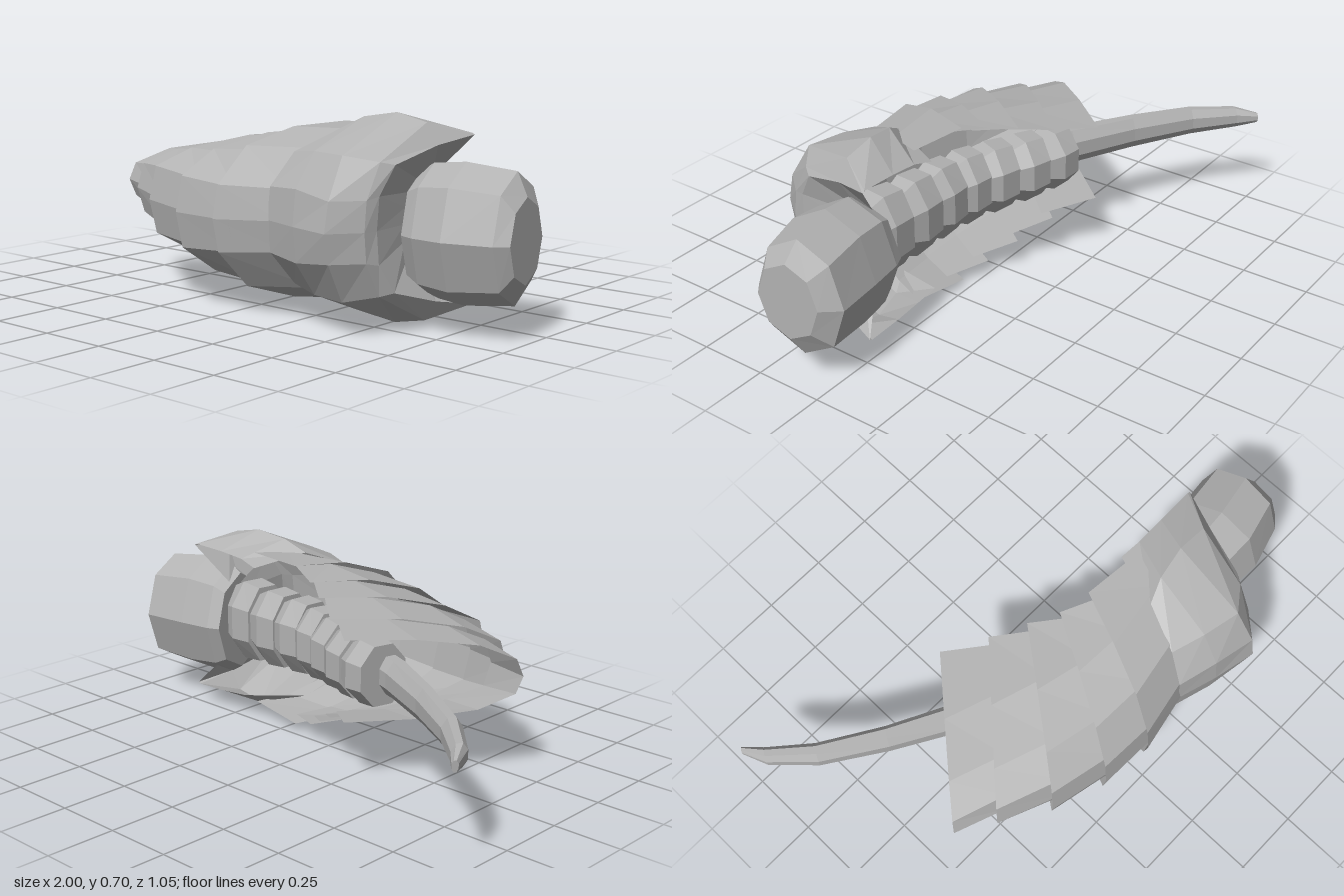
import * as THREE from 'three';

const shellGrey = new THREE.MeshStandardMaterial({ color: 0xb2b2b2, flatShading: true, side: THREE.DoubleSide });
shellGrey.name = 'shell grey';

// Skin a list of cross-sections; closed sections are capped at both ends.
function loft(name, rings, closed) {
  const pos = [];
  const tri = (a, b, c) => pos.push(...a, ...b, ...c);
  const n = rings[0].length;
  for (let i = 0; i < rings.length - 1; i++) {
    for (let j = 0; j < (closed ? n : n - 1); j++) {
      const k = (j + 1) % n, a = rings[i], b = rings[i + 1];
      tri(a[j], b[j], b[k]);
      tri(a[j], b[k], a[k]);
    }
  }
  if (closed) {
    const a = rings[0], b = rings[rings.length - 1];
    for (let j = 1; j < n - 1; j++) {
      tri(a[0], a[j], a[j + 1]);
      tri(b[0], b[j + 1], b[j]);
    }
  }
  const g = new THREE.BufferGeometry();
  g.setAttribute('position', new THREE.Float32BufferAttribute(pos, 3));
  g.computeVertexNormals();
  const mesh = new THREE.Mesh(g, shellGrey);
  mesh.name = name;
  return mesh;
}

// Mirror half an arch, given as [x, z, half height], about the height cy.
function arch(half, cy) {
  const up = half.map(([x, z, h]) => [x, cy + h, z]);
  const down = half.slice(1).reverse().map(([x, z, h]) => [x, cy - h, z]);
  return [...down, ...up];
}

// Oval section at (x, cy, z); angle is the heading of the section in plan.
function oval(x, cy, z, ry, rn, angle, turn = 0) {
  return Array.from({ length: 8 }, (_, i) => {
    const a = (i / 8) * Math.PI * 2 + turn;
    const s = Math.cos(a) * rn;
    return [x + s * Math.sin(angle), cy + Math.sin(a) * ry, z + s * Math.cos(angle)];
  });
}

// Edge of a back plate, running from the back (d) to the tip of the skirt (t).
// A tucked edge is moved forward and shrunk, and stops short of the tip.
function plateEdge({ d, t, w, h, cy }, tucked) {
  const dx = tucked ? 0.06 : 0, dz = tucked ? -0.012 : 0, k = tucked ? 0.95 : 1;
  const at = (f, y) => [d[0] + (t[0] - d[0]) * f + dx, d[1] + (t[1] - d[1]) * f + dz, y * k];
  const half = [at(0, 0), at(0.04, w), at(0.25, Math.max(w * 1.12, h * 0.79)), at(0.6, h * 0.97), at(tucked ? 0.88 : 1, h)];
  return arch(half, cy);
}

export function createModel() {
  const model = new THREE.Group();
  model.name = 'armouredCreature';

  // Large shoulder shell
  const collar = [
    [[0.21, 0.45, 0], [0.215, 0.44, 0.11], [0.25, 0.36, 0.22], [0.31, 0.2, 0.285], [0.38, 0, 0.25]],
    [[0.36, 0.495, 0], [0.36, 0.48, 0.12], [0.37, 0.4, 0.235], [0.39, 0.17, 0.33], [0.46, 0.01, 0.27]],
    [[0.52, 0.53, 0], [0.52, 0.51, 0.1], [0.51, 0.43, 0.235], [0.51, 0.15, 0.35], [0.57, 0.01, 0.28]],
    [[0.6, 0.43, 0], [0.6, 0.42, 0.1], [0.605, 0.36, 0.215], [0.63, 0.15, 0.325], [0.71, 0.01, 0.285]],
    [[0.61, 0.38, 0], [0.615, 0.375, 0.11], [0.635, 0.32, 0.205], [0.675, 0.15, 0.255], [0.72, 0.01, 0.28]],
  ].map((half) => arch(half, 0.35));
  model.add(loft('shoulderShell', collar, false));

  // Recessed front wall of the shoulder shell, around the neck
  const rim = collar[collar.length - 1];
  const inner = rim.map(([, y, z]) => [0.6, 0.35 + (y - 0.35) * 0.5, 0.12 + (z - 0.12) * 0.4]);
  model.add(loft('shoulderFront', [rim, inner], false));

  // Overlapping back plates, each tucked under the one before it
  const plates = [
    { d: [0.21, 0.455], t: [0.38, 0], w: 0.11, h: 0.31, cy: 0.35 },
    { d: [0.005, 0.495], t: [0.19, 0.02], w: 0.115, h: 0.305, cy: 0.335 },
    { d: [-0.19, 0.475], t: [0.08, -0.01], w: 0.125, h: 0.27, cy: 0.335 },
    { d: [-0.39, 0.41], t: [-0.02, -0.07], w: 0.12, h: 0.23, cy: 0.35 },
    { d: [-0.56, 0.31], t: [-0.14, -0.14], w: 0.09, h: 0.18, cy: 0.365 },
    { d: [-0.69, 0.23], t: [-0.29, -0.23], w: 0.062, h: 0.145, cy: 0.375 },
  ];
  for (let i = 1; i < plates.length; i++) {
    model.add(loft('backPlate' + i, [plateEdge(plates[i - 1], true), plateEdge(plates[i], false)], false));
  }

  // Stepped body segments under the plates
  const spine = [[0.6, 0.14], [0.45, 0.12], [0.31, 0.11], [0.18, 0.1], [0.06, 0.07], [-0.06, 0.02], [-0.18, -0.03], [-0.3, -0.06]];
  for (let i = 0; i < spine.length - 1; i++) {
    const [ax, az] = spine[i], [bx, bz] = spine[i + 1];
    const angle = Math.atan2(bz - az, ax - bx), ry = 0.165 - i * 0.007, cy = 0.35 + i * 0.002;
    model.add(loft('bodySegment' + (i + 1), [
      oval(ax, cy, az, ry * 0.78, 0.085, angle, Math.PI / 8),
      oval((ax + bx) / 2, cy, (az + bz) / 2, ry, 0.11, angle, Math.PI / 8),
      oval(bx - 0.015, cy, bz, ry * 0.95, 0.1, angle, Math.PI / 8),
    ], true));
  }

  // Long tapering tail
  const tail = [
    [-0.24, 0, 0.075, 0.05], [-0.38, -0.055, 0.072, 0.05], [-0.61, -0.18, 0.065, 0.042],
    [-0.82, -0.315, 0.055, 0.038], [-0.95, -0.44, 0.042, 0.03], [-0.995, -0.515, 0.02, 0.012],
  ].map(([x, z, ry, rn]) => oval(x, 0.36, z, ry, rn, -0.6, Math.PI / 8));
  model.add(loft('tail', tail, true));

  // Blunt faceted head
  const head = [
    [0.6, 0.135, 0.19, 0.15, 0.2], [0.65, 0.135, 0.22, 0.17, 0.2], [0.77, 0.128, 0.233, 0.18, 0.15],
    [0.94, 0.095, 0.215, 0.165, 0.12], [0.987, 0.11, 0.14, 0.115, 0.12],
  ].map(([x, z, ry, rn, a]) => oval(x, 0.325, z, ry, rn, a));
  model.add(loft('head', head, true));

  return model;
}
